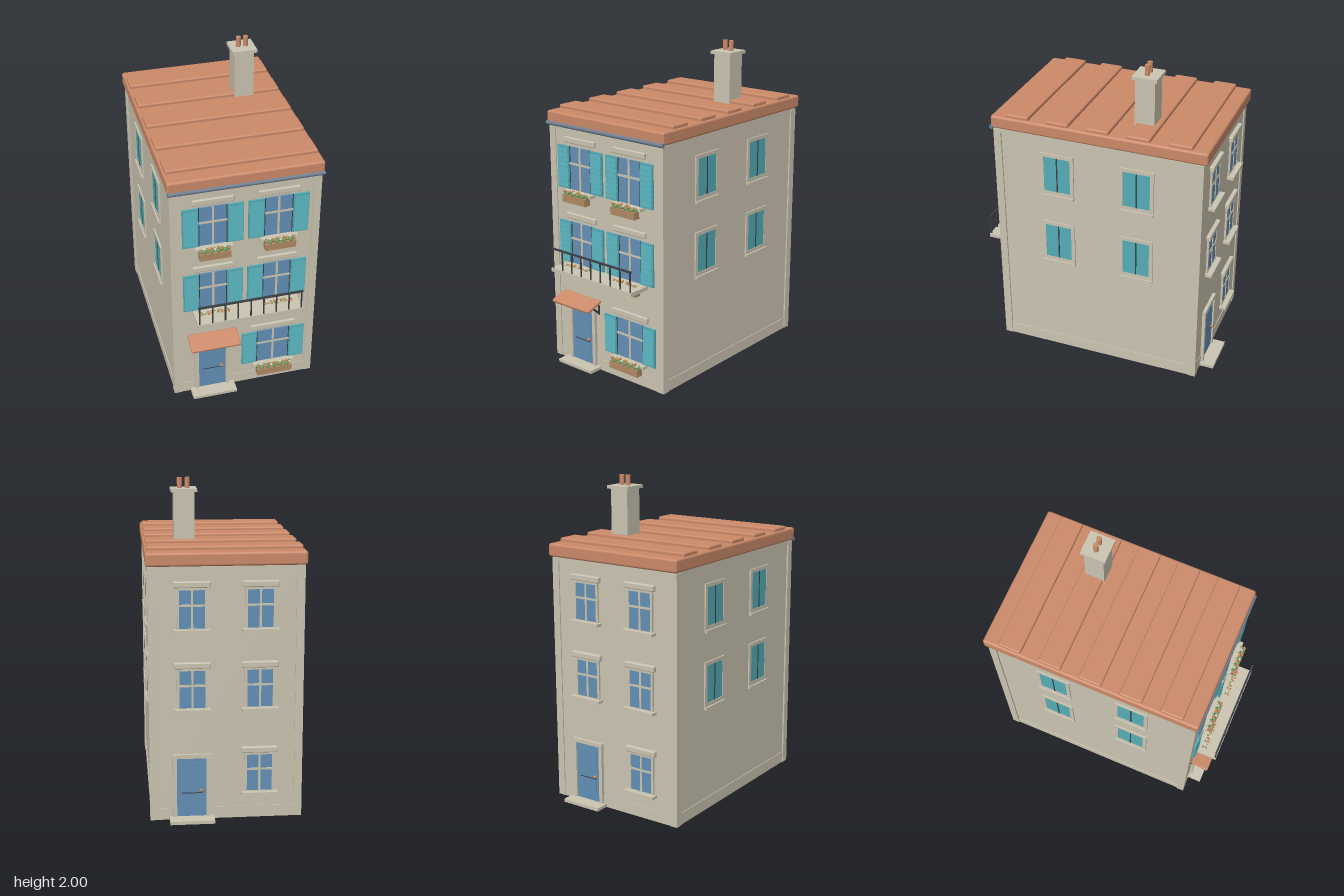
import * as THREE from 'three';
import { RoundedBoxGeometry } from 'three/addons/geometries/RoundedBoxGeometry.js';

const mat = (name, color) => {
  const m = new THREE.MeshStandardMaterial({ color });
  m.name = name;
  return m;
};

export function createModel() {
  const stone = mat('stone', 0xcbc4b1);
  const clay = mat('terracotta', 0xcb8a69);
  const teal = mat('teal paint', 0x55acb6);
  const blue = mat('blue glass and paint', 0x6390b6);
  const wood = mat('wood', 0xb08a62);
  const iron = mat('dark iron', 0x3c4044);
  const leaf = mat('leaf green', 0x6d9a5e);
  const bloom = mat('orange blossom', 0xd9824f);
  const petal = mat('pale blossom', 0xe3cfc0);
  const slate = mat('gutter slate', 0x6f7f92);

  const house = new THREE.Group();
  house.name = 'townhouse';

  const add = (parent, name, geo, m, x, y, z) => {
    const mesh = new THREE.Mesh(geo, m);
    mesh.name = name;
    mesh.position.set(x, y, z);
    parent.add(mesh);
    return mesh;
  };
  // box given by its width, height, depth and centre
  const box = (p, name, m, w, h, d, x, y, z) => add(p, name, new THREE.BoxGeometry(w, h, d), m, x, y, z);
  const rbox = (p, name, m, w, h, d, x, y, z, r = 0.006) =>
    add(p, name, new RoundedBoxGeometry(w, h, d, 2, r), m, x, y, z);
  const rod = (p, name, m, r, len, x, y, z, sides = 12) =>
    add(p, name, new THREE.CylinderGeometry(r, r, len, sides), m, x, y, z);
  const group = (parent, name, x = 0, y = 0, z = 0, turn = 0) => {
    const g = new THREE.Group();
    g.name = name;
    g.position.set(x, y, z);
    g.rotation.y = turn;
    parent.add(g);
    return g;
  };

  const FRONT = 0.628, BACK = -0.684, SIDE = 0.445;
  const midZ = (FRONT + BACK) / 2, depth = FRONT - BACK;

  // walls, corner pilasters, plinth and cornice bands
  box(house, 'walls', stone, SIDE * 2, 1.54, depth, 0, 0.77, midZ);
  for (const x of [-0.431, 0.431])
    for (const z of [0.611, -0.667]) box(house, 'cornerPilaster', stone, 0.048, 1.53, 0.048, x, 0.765, z);
  box(house, 'plinth', stone, SIDE * 2 + 0.01, 0.073, depth + 0.008, 0, 0.0365, midZ);
  box(house, 'cornice', stone, SIDE * 2 + 0.012, 0.035, depth + 0.008, 0, 1.52, midZ);

  // roof slab with raised tile courses, and front gutter
  rbox(house, 'roof', clay, 0.932, 0.08, 1.36, 0, 1.576, -0.034, 0.014);
  for (let i = 0; i < 5; i++)
    rbox(house, 'tileCourse', clay, 0.908, 0.04, 0.143, 0, 1.618, 0.476 - i * 0.2555, 0.01);
  rod(house, 'gutter', slate, 0.013, 0.93, 0, 1.54, 0.644).rotation.z = Math.PI / 2;

  // chimney
  const chimney = group(house, 'chimney', 0.22, 0, -0.269);
  box(chimney, 'chimneyShaft', stone, 0.123, 0.32, 0.123, 0, 1.76, 0);
  box(chimney, 'chimneyCap', stone, 0.156, 0.02, 0.156, 0, 1.927, 0);
  for (const x of [-0.023, 0.023]) rod(chimney, 'chimneyPot', clay, 0.0155, 0.066, x, 1.967, 0, 16);

  // glazing with a cross of bars; y is the window's bottom edge
  function glazing(g, w, h, barY) {
    box(g, 'glass', blue, w, h, 0.008, 0, h / 2, 0.004);
    box(g, 'mullion', stone, 0.013, h, 0.008, 0, h / 2, 0.008);
    box(g, 'transom', stone, w, 0.013, 0.008, 0, h * barY, 0.008);
  }
  function surround(g, w, h, t, d) {
    for (const s of [-1, 1]) box(g, 'frameSide', stone, t, h + 2 * t, d, s * (w + t) / 2, h / 2, d / 2);
    for (const y of [-t / 2, h + t / 2]) box(g, 'frameRail', stone, w, t, d, 0, y, d / 2);
  }
  function shutter(g, x, h) {
    const s = group(g, 'shutter', x, h / 2, 0);
    box(s, 'shutterPanel', teal, 0.096, h, 0.012, 0, 0, 0.008);
    const n = 8;
    for (let i = 0; i < n; i++) {
      const slat = box(s, 'louvre', teal, 0.084, 0.026, 0.006, 0, ((i + 0.5) / n - 0.5) * (h - 0.02), 0.015);
      slat.rotation.x = -0.25;
    }
  }
  function flowerBox(g, w, y) {
    const b = group(g, 'flowerBox', 0, y, 0.05);
    box(b, 'planter', wood, w, 0.046, 0.044, 0, -0.023, 0);
    const n = Math.round(w / 0.021);
    for (let i = 0; i < n; i++) {
      const x = ((i + 0.5) / n - 0.5) * w;
      add(b, 'foliage', new THREE.SphereGeometry(0.014, 8, 6), leaf, x, 0.006, i % 2 ? 0.008 : -0.006);
      add(b, 'blossom', new THREE.SphereGeometry(0.0085, 8, 6), i % 3 === 1 ? petal : bloom,
        x, 0.02 + (i % 2) * 0.005, i % 2 ? 0.002 : 0.013);
    }
  }

  // front windows: x, bottom, glass width, height
  const frontWindows = [
    [-0.2, 1.147, 0.172, 0.268], [0.197, 1.147, 0.172, 0.268],
    [-0.2, 0.668, 0.172, 0.268], [0.197, 0.668, 0.172, 0.268],
    [0.188, 0.152, 0.21, 0.25],
  ];
  for (const [x, y, w, h] of frontWindows) {
    const g = group(house, 'frontWindow', x, y, FRONT);
    glazing(g, w, h, 0.61);
    for (const s of [-1, 1]) {
      box(g, 'windowEdge', iron, 0.005, h, 0.008, s * (w / 2 - 0.002), h / 2, 0.006);
      shutter(g, s * (w / 2 + 0.05), h);
    }
    rbox(g, 'lintel', stone, w + 0.078, 0.037, 0.02, 0, h + 0.04, 0.008);
    box(g, 'sill', stone, w + 0.058, 0.018, 0.05, 0, -0.011, 0.02);
    flowerBox(g, w + 0.016, -0.02);
  }

  // back windows
  const back = group(house, 'backFacade', 0, 0, BACK, Math.PI);
  for (const [x, y] of [[-0.2, 1.172], [0.197, 1.172], [-0.2, 0.695], [0.197, 0.695], [0.197, 0.172]]) {
    const g = group(back, 'backWindow', x, y, 0);
    glazing(g, 0.15, 0.225, 0.6);
    surround(g, 0.15, 0.225, 0.016, 0.012);
    rbox(g, 'lintel', stone, 0.215, 0.036, 0.034, 0, 0.258, 0.008);
    box(g, 'sill', stone, 0.215, 0.018, 0.046, 0, -0.012, 0.021);
  }

  // doors with stone surround, raised panels, knob and step
  function door(parent, x, z, stepW, stepD) {
    const g = group(parent, 'door', x, 0, z);
    box(g, 'doorLeaf', blue, 0.176, 0.365, 0.01, 0, 0.203, 0.005);
    box(g, 'upperPanel', blue, 0.126, 0.145, 0.008, 0, 0.285, 0.009);
    box(g, 'lowerPanel', blue, 0.126, 0.125, 0.008, 0, 0.1, 0.009);
    box(g, 'middleRail', iron, 0.126, 0.005, 0.006, 0, 0.168, 0.01);
    for (const s of [-1, 1]) box(g, 'doorJamb', stone, 0.024, 0.41, 0.02, s * 0.1, 0.205, 0.01);
    box(g, 'doorHead', stone, 0.224, 0.024, 0.02, 0, 0.398, 0.01);
    add(g, 'doorKnob', new THREE.SphereGeometry(0.01, 12, 8), bloom, 0.058, 0.187, 0.02);
    box(g, 'doorStep', stone, stepW, 0.02, stepD, 0, 0.012, stepD / 2);
    return g;
  }
  const frontDoor = door(house, -0.208, FRONT, 0.284, 0.092);
  door(back, -0.207, 0, 0.266, 0.094);

  // sloping canopy on two iron brackets
  const canopy = rbox(frontDoor, 'canopy', clay, 0.313, 0.022, 0.125, 0, 0.445, 0.062, 0.008);
  canopy.rotation.x = 0.33;
  for (const s of [-1, 1]) {
    box(frontDoor, 'bracketPlate', iron, 0.01, 0.06, 0.008, s * 0.136, 0.405, 0.004);
    box(frontDoor, 'bracketStrut', iron, 0.01, 0.01, 0.078, s * 0.136, 0.41, 0.035).rotation.x = -0.7;
  }

  // balcony slab and railing
  const balcony = group(house, 'balcony');
  box(balcony, 'balconySlab', stone, 0.66, 0.024, 0.15, 0, 0.653, 0.703);
  box(balcony, 'handrail', iron, 0.65, 0.01, 0.012, 0, 0.79, 0.771);
  for (let i = 0; i < 9; i++) rod(balcony, 'baluster', iron, 0.005, 0.13, (i - 4) * 0.0795, 0.725, 0.771, 8);

  // side windows with closed shutters
  for (const s of [-1, 1])
    for (const z of [0.226, -0.284])
      for (const y of [1.164, 0.687]) {
        const g = group(house, 'sideWindow', s * SIDE, y, z, s * Math.PI / 2);
        box(g, 'closedShutters', teal, 0.17, 0.233, 0.008, 0, 0.1165, 0.002);
        box(g, 'shutterSeam', iron, 0.008, 0.233, 0.008, 0, 0.1165, 0.004);
        surround(g, 0.17, 0.233, 0.023, 0.009);
        box(g, 'sill', stone, 0.217, 0.014, 0.018, 0, -0.031, 0.009);
      }

  return house;
}
